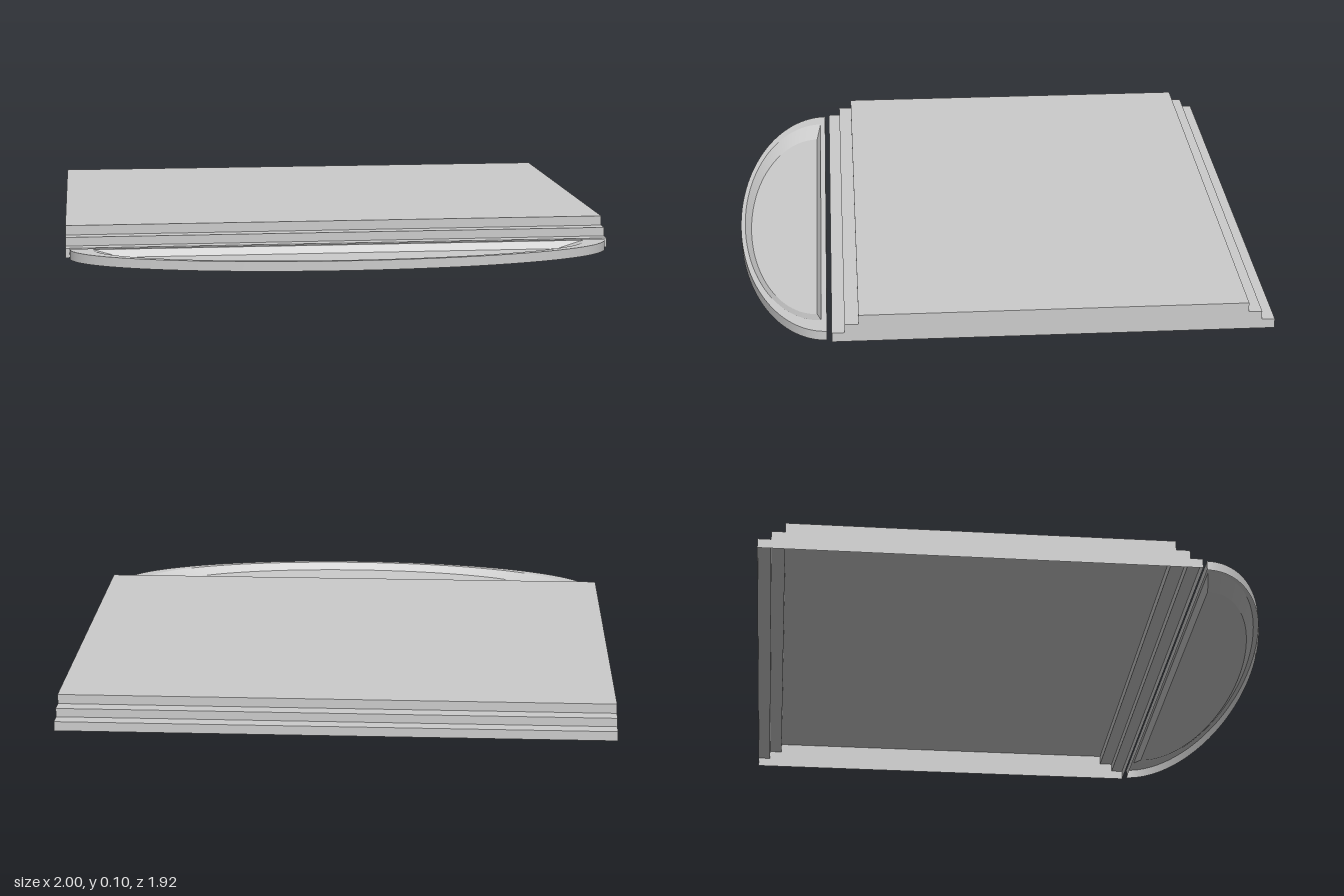
import * as THREE from 'three';
import { toCreasedNormals } from 'three/addons/utils/BufferGeometryUtils.js';

const material = new THREE.MeshStandardMaterial({ color: 0xcccccc, side: THREE.DoubleSide });

function addMesh(parent, name, geometry) {
  const mesh = new THREE.Mesh(geometry, material);
  mesh.name = name;
  parent.add(mesh);
  return mesh;
}

// Stepped platform: a thin shell, open underneath, from a (z, y) profile
function createPlatform() {
  const platform = new THREE.Group();
  platform.name = 'steppedPlatform';
  const profile = [
    [0.615, 0], [0.615, 0.035], [0.57, 0.035], [0.57, 0.067], [0.52, 0.067], [0.52, 0.102],
    [-0.867, 0.102], [-0.867, 0.067], [-0.915, 0.067], [-0.915, 0.035], [-0.962, 0.035], [-0.962, 0],
  ];

  // Risers and treads
  for (let i = 0; i < profile.length - 1; i++) {
    const [z0, y0] = profile[i], [z1, y1] = profile[i + 1];
    const isRiser = z0 === z1;
    const strip = addMesh(platform, isRiser ? 'riser' : 'tread',
      new THREE.PlaneGeometry(2, Math.hypot(z1 - z0, y1 - y0)));
    strip.position.set(0, (y0 + y1) / 2, (z0 + z1) / 2);
    if (!isRiser) strip.rotation.x = -Math.PI / 2;
    else if (y1 < y0) strip.rotation.y = Math.PI;
  }

  // Side walls
  for (const side of [-1, 1]) {
    const shape = new THREE.Shape(profile.map(([z, y]) => new THREE.Vector2(-side * z, y)));
    const wall = addMesh(platform, side > 0 ? 'leftWall' : 'rightWall', new THREE.ShapeGeometry(shape));
    wall.rotation.y = side * Math.PI / 2;
    wall.position.x = side;
  }
  return platform;
}

// Half-elliptical tray: rings run from the outer foot over the rim to the floor
function createTray() {
  const rings = [ // half width, back z, depth, height
    [0.985, 0.632, 0.33, 0],
    [0.985, 0.632, 0.33, 0.035],
    [0.9, 0.652, 0.294, 0.035],
    [0.8, 0.667, 0.256, 0.008],
  ];
  const segments = 96, count = segments + 1;
  const positions = [], index = [];
  for (const [halfWidth, back, depth, y] of rings) {
    for (let j = 0; j < count; j++) {
      const t = Math.PI * j / segments;
      positions.push(halfWidth * Math.cos(t), y, back + depth * Math.sin(t));
    }
  }
  // Walls, rim and inner slope
  for (let r = 0; r < rings.length - 1; r++) {
    for (let j = 0; j < count; j++) {
      const a = r * count + j, an = r * count + (j + 1) % count;
      index.push(a, a + count, an, an, a + count, an + count);
    }
  }
  // Floor
  const last = (rings.length - 1) * count, centre = positions.length / 3;
  positions.push(0, 0.008, 0.75);
  for (let j = 0; j < count; j++) index.push(last + j, centre, last + (j + 1) % count);

  const geometry = new THREE.BufferGeometry();
  geometry.setAttribute('position', new THREE.Float32BufferAttribute(positions, 3));
  geometry.setIndex(index);
  return toCreasedNormals(geometry, 0.2);
}

export function createModel() {
  const model = new THREE.Group();
  model.name = 'platformWithTray';
  model.add(createPlatform());
  addMesh(model, 'frontTray', createTray());
  return model;
}
